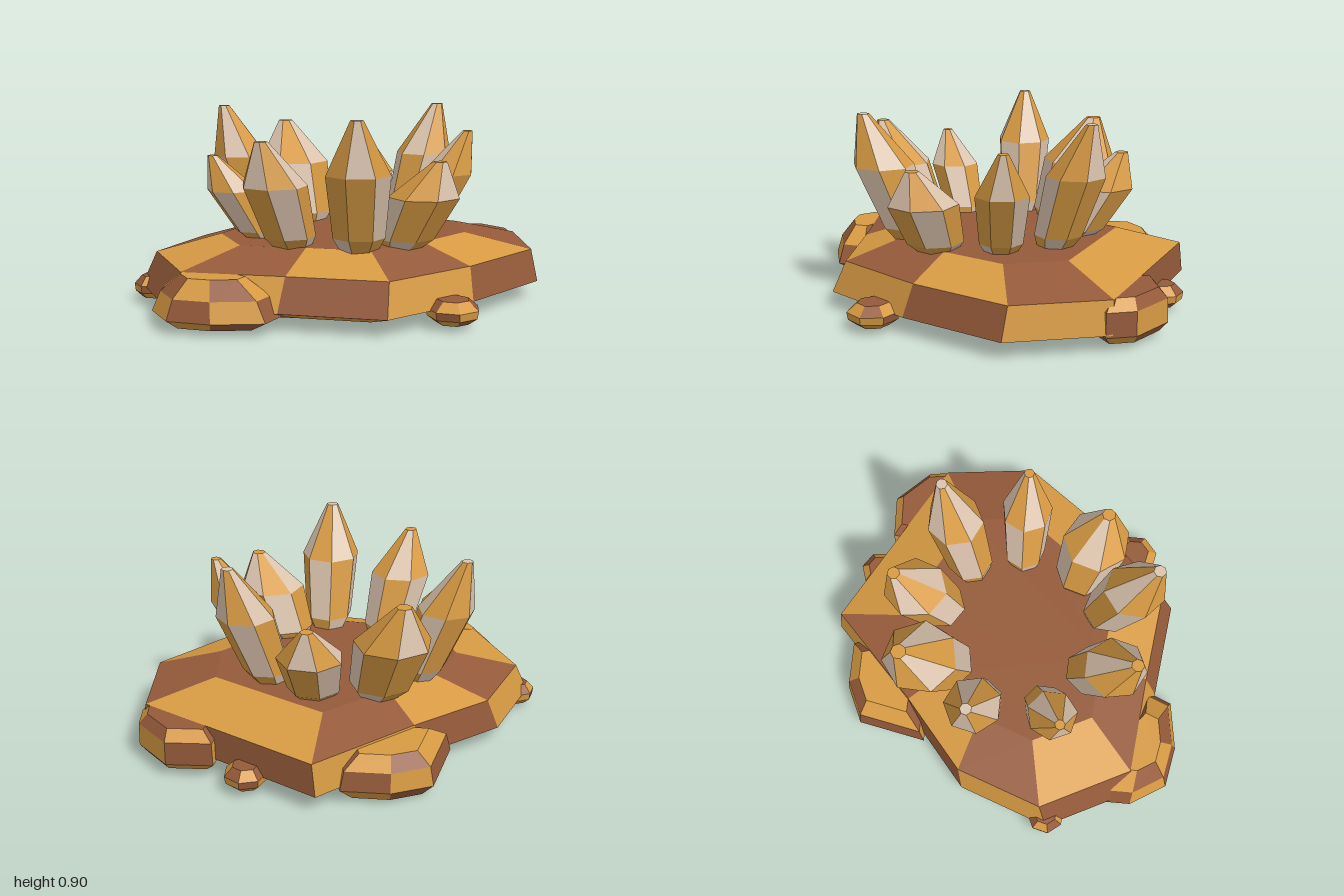
import * as THREE from 'three';

const gold = new THREE.MeshStandardMaterial({ color: 0xd79a43 });
gold.name = 'gold';
const brown = new THREE.MeshStandardMaterial({ color: 0x955a3a });
brown.name = 'brown rock';
const beige = new THREE.MeshStandardMaterial({ color: 0xdcc4ae });
beige.name = 'pale beige';

// Faceted solid from stacked rings (counter-clockwise seen from above),
// with its facets coloured like a checkerboard.
function facetedSolid(name, rings, materials, topIndex, bottomIndex) {
  const parts = [[], []];
  const tri = (m, ...pts) => pts.forEach((p) => parts[m].push(...p));
  const n = rings[0].length;
  for (let j = 0; j < rings.length - 1; j++) {
    for (let i = 0; i < n; i++) {
      const k = (i + 1) % n;
      const [a, b, c, d] = [rings[j][i], rings[j][k], rings[j + 1][k], rings[j + 1][i]];
      const m = ((i + j) % n) % 2;
      tri(m, a, b, c);
      tri(m, a, c, d);
    }
  }
  // End caps
  const top = rings[rings.length - 1];
  for (let i = 1; i < n - 1; i++) {
    tri(topIndex, top[0], top[i], top[i + 1]);
    tri(bottomIndex, rings[0][0], rings[0][i + 1], rings[0][i]);
  }
  const geo = new THREE.BufferGeometry();
  geo.setAttribute('position', new THREE.Float32BufferAttribute([...parts[0], ...parts[1]], 3));
  geo.addGroup(0, parts[0].length / 3, 0);
  geo.addGroup(parts[0].length / 3, parts[1].length / 3, 1);
  geo.computeVertexNormals();
  const mesh = new THREE.Mesh(geo, materials);
  mesh.name = name;
  return mesh;
}

// Rock: one outline, scaled about its centre and shifted at each
// [height, scale, x shift, z shift] level
function rock(name, outline, levels, topIndex) {
  const n = outline.length;
  const [cx, cz] = [0, 1].map((k) => outline.reduce((s, p) => s + p[k], 0) / n);
  const rings = levels.map(([y, s, dx = 0, dz = 0]) => outline.map(
    ([x, z]) => [cx + (x - cx) * s + dx, y, cz + (z - cz) * s + dz],
  ));
  return facetedSolid(name, rings, [gold, brown], topIndex, 1);
}

const circle = (x, z, r, n, turn) => Array.from({ length: n }, (_, i) => {
  const t = turn + (i / n) * Math.PI * 2;
  return [x + r * Math.cos(t), z - r * Math.sin(t)];
});

// Crystal: leaning axis from base to tip, widest above the middle
const crystalProfile = [[0, 0.56], [0.12, 0.82], [0.6, 1], [1, 0.2]];
function crystal(name, [bx, bz, tx, tz, topY, r, cap]) {
  const baseY = 0.29;
  const turn = Math.atan2(-tz, tx) + Math.PI / 7;
  const rings = crystalProfile.map(([f, s]) => circle(
    bx + (tx - bx) * f, bz + (tz - bz) * f, r * s, 7, turn,
  ).map(([x, z]) => [x, baseY + (topY - baseY) * f, z]));
  return facetedSolid(name, rings, [gold, beige], cap, 0);
}

export function createModel() {
  const model = new THREE.Group();
  model.name = 'crystalCluster';

  // Broad base slab
  const slab = [
    [-0.53, 0.58], [-0.13, 0.84], [0.35, 0.69], [0.82, 0.45], [0.97, 0],
    [0.37, -0.81], [-0.2, -0.62], [-0.64, -0.5], [-0.96, -0.18], [-0.95, 0.32],
  ];
  model.add(rock('baseSlab', slab, [
    [0, 0.68, 0.02, -0.02], [0.08, 1], [0.23, 0.95, 0.03, -0.02], [0.31, 0.62, 0.04, -0.03],
  ], 1));

  // Boulders merged into the rim
  model.add(rock('leftBoulder', [
    [-0.98, 0.45], [-0.82, 0.57], [-0.6, 0.64], [-0.5, 0.55],
    [-0.6, 0.35], [-0.75, 0.2], [-0.92, 0.08], [-1, 0.25],
  ], [[0.02, 0.75], [0.06, 1], [0.15, 0.85], [0.23, 0.5]], 0));
  model.add(rock('backBoulder', [
    [0.25, -0.78], [0.05, -0.87], [-0.15, -0.87], [-0.35, -0.6], [-0.1, -0.48], [0.22, -0.55],
  ], [[0.01, 0.75], [0.07, 1], [0.16, 0.92], [0.22, 0.62]], 0));
  model.add(rock('rightBoulder', [
    [0.96, 0.03], [1, -0.1], [0.92, -0.32], [0.72, -0.4], [0.6, -0.2], [0.75, 0.02],
  ], [[0.03, 0.8], [0.07, 1], [0.18, 0.98], [0.23, 0.75]], 1));

  // Small pebbles around the rim: x, z, radius
  [[0.21, 0.77, 0.12], [0.6, -0.52, 0.1], [-0.91, -0.16, 0.09]].forEach(([x, z, r], i) => {
    model.add(rock(`pebble${i + 1}`, circle(x, z, r, 7, i),
      [[0.02, 0.6], [0.05, 0.95], [0.085, 1], [0.125, 0.6]], 1));
  });

  // Ring of crystals: base x, base z, tip x, tip z, tip height, radius, cap colour
  [
    [-0.08, -0.36, -0.11, -0.58, 0.8, 0.18, 0],
    [0.2, -0.28, 0.3, -0.48, 0.7, 0.155, 0],
    [0.35, -0.08, 0.56, -0.14, 0.9, 0.138, 1],
    [0.31, 0.18, 0.52, 0.28, 0.8, 0.125, 0],
    [0.12, 0.41, 0.23, 0.58, 0.7, 0.165, 0],
    [-0.1, 0.44, -0.19, 0.64, 0.9, 0.147, 1],
    [-0.35, 0.25, -0.54, 0.4, 0.8, 0.15, 0],
    [-0.42, 0, -0.65, -0.01, 0.7, 0.12, 0],
    [-0.31, -0.27, -0.49, -0.39, 0.9, 0.135, 1],
  ].forEach((c, i) => model.add(crystal(`crystal${i + 1}`, c)));

  return model;
}
